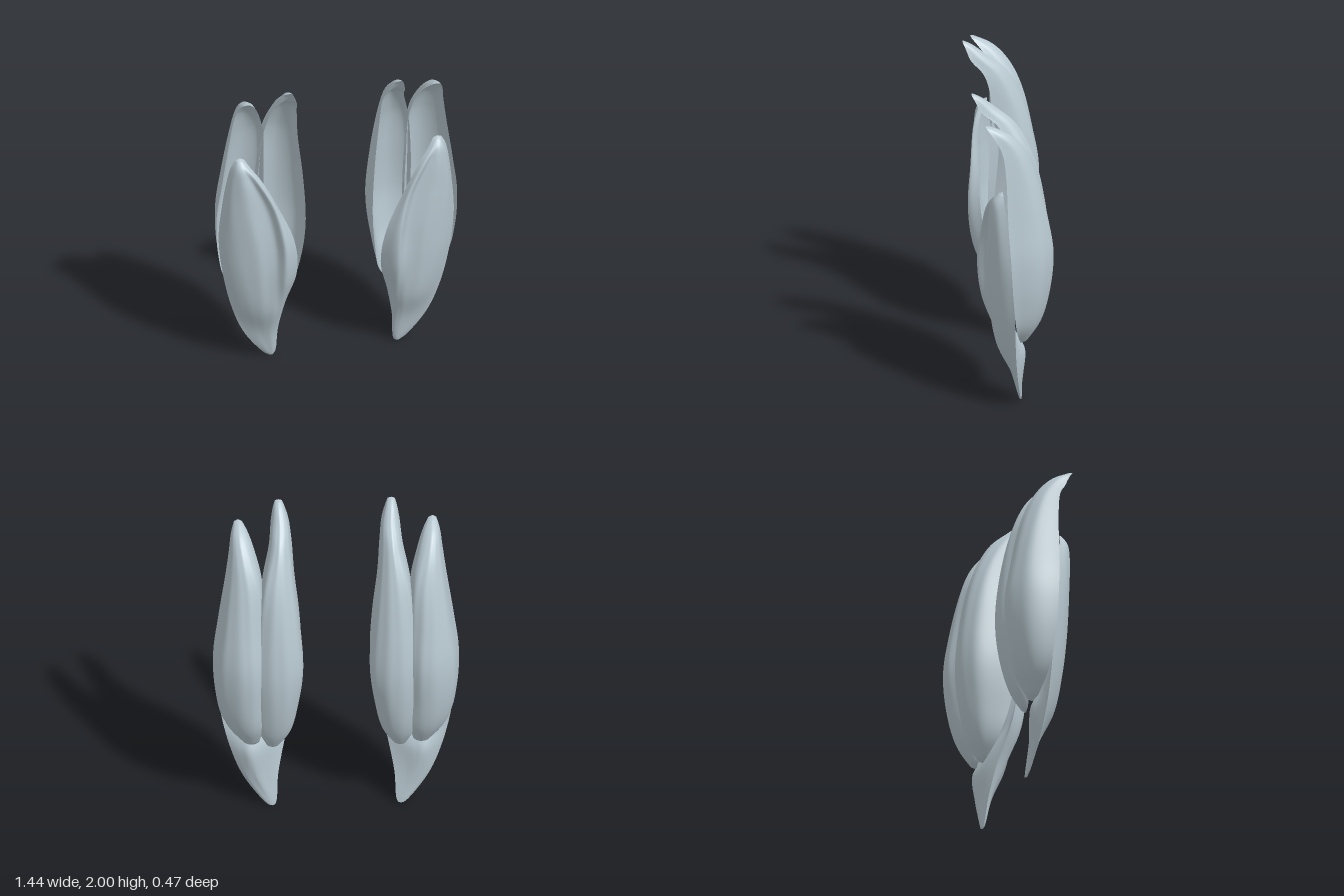
import * as THREE from 'three';

// Each row: height, fill (how far the hollow side moves to the chord, or past it when over 1),
// then x,z pairs around the outside
const FRONT = [
  [0.0, 1.2, .362, -.06, .367, -.055, .372, -.05, .378, -.05, .385, -.053, .39, -.06],
  [0.03, 1.6, .35, -.054, .36, -.045, .37, -.04, .385, -.04, .405, -.043, .425, -.052],
  [0.2, 2.0, .34, -.03, .355, -.01, .39, .005, .44, 0, .49, -.01, .545, -.028],
  [0.4, 1.8, .305, .01, .335, .06, .385, .085, .47, .085, .555, .045, .622, -.01],
  [0.65, .8, .25, .08, .33, .165, .39, .135, .49, .13, .61, .075, .677, 0],
  [0.9, .4, .275, .125, .34, .198, .395, .145, .51, .15, .64, .085, .702, .005],
  [1.15, .3, .375, .13, .395, .178, .445, .14, .55, .148, .648, .095, .684, .025],
  [1.35, .35, .475, .125, .495, .153, .53, .135, .58, .142, .634, .105, .657, .05],
  [1.43, .5, .535, .095, .55, .12, .57, .125, .59, .125, .615, .11, .637, .06],
  [1.48, 1, .57, .065, .58, .075, .585, .08, .595, .08, .605, .075, .61, .065],
];
const TALL = [
  [0.42, 1, .4, -.055, .39, -.065, .375, -.073, .355, -.065, .345, -.055],
  [0.55, .8, .455, -.06, .435, -.125, .35, -.145, .28, -.1, .258, 0],
  [0.75, .5, .46, -.07, .45, -.165, .33, -.2, .235, -.125, .22, .06],
  [1.0, .42, .46, -.08, .455, -.185, .33, -.226, .21, -.15, .2, .09],
  [1.3, .4, .455, -.04, .452, -.15, .34, -.2, .232, -.135, .213, .08],
  [1.6, .38, .432, 0, .418, -.1, .34, -.13, .262, -.075, .243, .065],
  [1.8, .45, .39, .07, .37, 0, .33, -.03, .28, .015, .257, .105],
  [1.9, .75, .375, .175, .36, .11, .325, .08, .285, .11, .273, .185],
  [1.97, .85, .36, .212, .35, .18, .33, .165, .305, .18, .297, .215],
  [2.0, 1, .348, .23, .34, .222, .33, .216, .32, .222, .312, .23],
];
const SIDE = [
  [0.44, 1, .455, -.055, .475, -.07, .495, -.075, .52, -.065, .53, -.045],
  [0.6, .75, .42, -.07, .435, -.135, .52, -.165, .62, -.11, .66, -.01],
  [0.8, .5, .42, -.07, .432, -.165, .53, -.215, .67, -.14, .707, .01],
  [1.05, .42, .42, -.06, .435, -.185, .53, -.237, .68, -.155, .718, .025],
  [1.3, .4, .425, -.04, .438, -.15, .53, -.2, .65, -.14, .688, .04],
  [1.6, .38, .435, 0, .455, -.1, .53, -.13, .615, -.08, .645, .05],
  [1.75, .42, .47, .04, .49, -.03, .545, -.06, .6, -.025, .625, .07],
  [1.85, .55, .51, .11, .52, .06, .56, .03, .597, .06, .61, .12],
  [1.91, 1, .55, .165, .555, .155, .565, .145, .58, .155, .588, .165],
];

const NU = 36, NV = 56;

// Lofts one cupped petal: an outer skin and a hollow skin that meet at the rims
function petalGeometry(rows, side, flip) {
  const columns = [];
  for (let c = 2; c < rows[0].length; c += 2) {
    columns.push(new THREE.CatmullRomCurve3(rows.map(r => new THREE.Vector3(r[c] * side, r[0], r[c + 1]))));
  }
  const outer = [], inner = [];
  for (let j = 0; j <= NV; j++) {
    const t = j / NV;
    const k = Math.min(t * (rows.length - 1), rows.length - 1.0001);
    const i0 = Math.floor(k);
    const fill = THREE.MathUtils.lerp(rows[i0][1], rows[i0 + 1][1], k - i0);
    const pts = columns.map(c => c.getPoint(t));
    const section = new THREE.CatmullRomCurve3(pts);
    const a = pts[0], b = pts[pts.length - 1];
    const centre = a.clone().lerp(b, 0.5);
    const tip = j === 0 || j === NV;
    for (let i = 0; i <= NU; i++) {
      const u = i / NU;
      const p = tip ? centre.clone() : section.getPoint(u);
      const chord = tip ? centre : a.clone().lerp(b, u);
      // shallow lengthwise veins
      const vein = 0.012 * Math.sin(u * 38 + 2 * Math.sin(t * 5)) * Math.sin(Math.PI * t);
      const q = p.clone().lerp(chord, fill);
      p.lerp(chord, vein);
      outer.push(p.x, p.y, p.z);
      inner.push(q.x, q.y, q.z);
    }
  }
  const index = [];
  const count = outer.length / 3, w = NU + 1;
  const face = (a, b, c, d, rev) => index.push(...(rev ? [a, c, b, a, d, c] : [a, b, c, a, c, d]));
  const turned = flip !== (side < 0);
  for (let j = 0; j < NV; j++) {
    for (let i = 0; i < NU; i++) {
      const a = j * w + i;
      face(a, a + 1, a + w + 1, a + w, turned);
      face(count + a, count + a + 1, count + a + w + 1, count + a + w, !turned);
    }
  }
  const g = new THREE.BufferGeometry();
  g.setAttribute('position', new THREE.Float32BufferAttribute(outer.concat(inner), 3));
  g.setIndex(index);
  g.computeVertexNormals();
  return g;
}

export function createModel() {
  const model = new THREE.Group();
  model.name = 'petalPair';
  const paleBlueGrey = new THREE.MeshStandardMaterial({ color: 0xb8c8d0 });
  paleBlueGrey.name = 'paleBlueGrey';

  // Two mirrored clusters of three petals
  for (const [side, label] of [[1, 'left'], [-1, 'right']]) {
    const cluster = new THREE.Group();
    cluster.name = label + 'Cluster';
    const parts = [['frontPetal', FRONT, false], ['tallBackPetal', TALL, false], ['sideBackPetal', SIDE, true]];
    for (const [name, rows, flip] of parts) {
      const mesh = new THREE.Mesh(petalGeometry(rows, side, flip), paleBlueGrey);
      mesh.name = name;
      cluster.add(mesh);
    }
    model.add(cluster);
  }
  return model;
}
